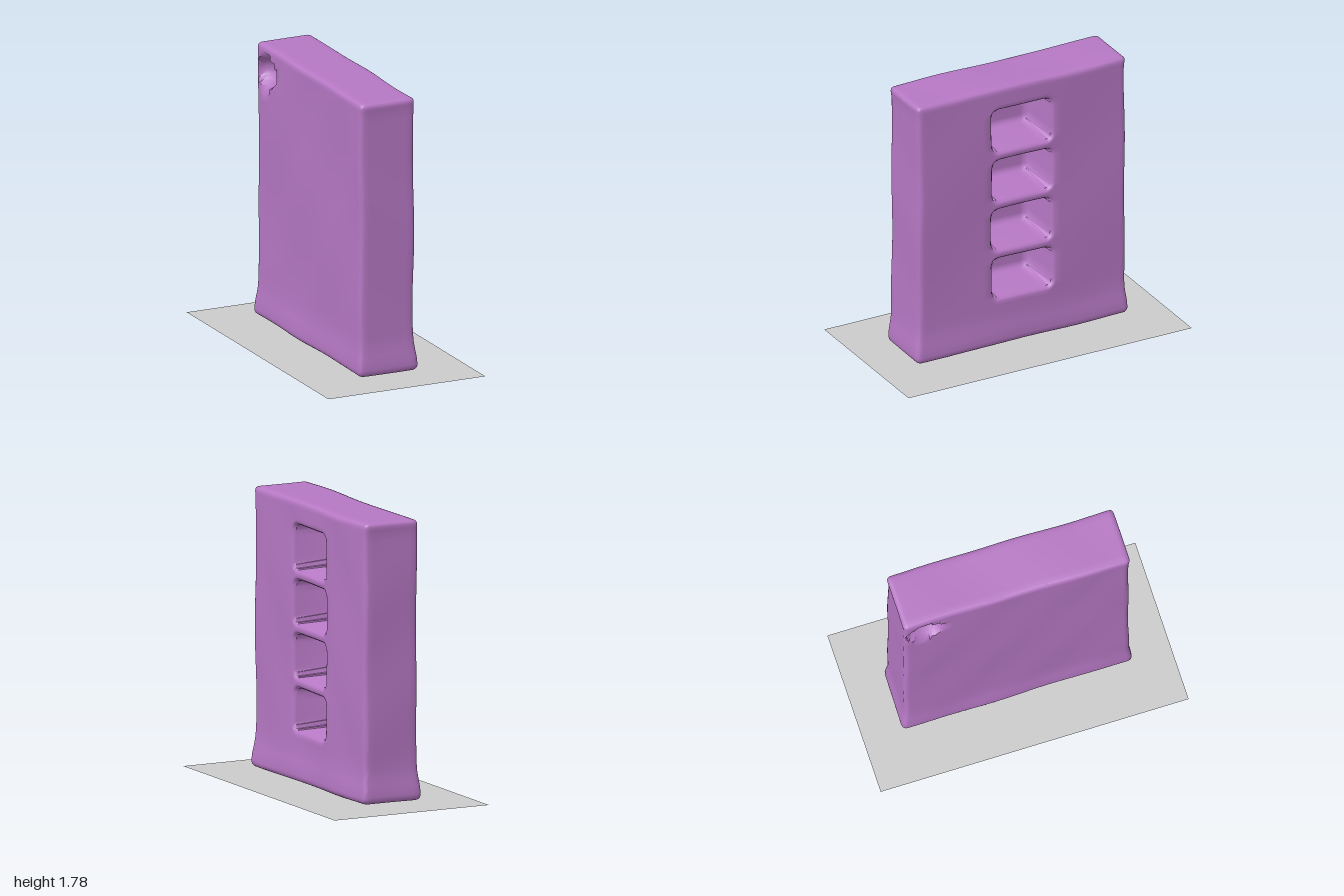
import * as THREE from 'three';
import { mergeVertices, toCreasedNormals } from 'three/addons/utils/BufferGeometryUtils.js';

const HX = 0.187, HZ = 0.73, BOTTOM = 0.015, TOP = 1.782;
const HOLE_HALF = 0.21, BACK_X = -0.13, ROUND = 0.03;
const HOLES = [[0.33, 0.6], [0.66, 0.94], [1.0, 1.28], [1.34, 1.63]];
const DENT = { y: 1.61, z: -0.6, ry: 0.1, rz: 0.12, depth: 0.1 };

// Sorted grid lines: an even spread, fine steps at the ends and at recess edges
function gridLines(min, max, step, edges, extra = []) {
  const lines = [0, 0.005, 0.014, ROUND].flatMap(o => [min + o, max - o]);
  for (const [a, b] of edges) {
    for (const o of [-0.02, -0.01, 0, 0.008, 0.02, 0.032, 0.05]) lines.push(a + o, b - o);
  }
  lines.push(...extra);
  const n = Math.round((max - min) / step);
  for (let i = 1; i < n; i++) {
    const v = min + (max - min) * i / n;
    if (lines.every(l => Math.abs(l - v) > 0.012)) lines.push(v);
  }
  return lines.sort((a, b) => a - b).filter((v, i, all) => !i || v - all[i - 1] > 0.002);
}

// Signed distance to the nearest recess outline, negative inside
function recessDistance(y, z) {
  const r = 0.045;
  return Math.min(...HOLES.map(([a, b]) => {
    const qy = Math.abs(y - (a + b) / 2) - (b - a) / 2 + r;
    const qz = Math.abs(z) - HOLE_HALF + r;
    return Math.hypot(Math.max(qy, 0), Math.max(qz, 0)) + Math.min(Math.max(qy, qz), 0) - r;
  }));
}

function buildBody() {
  const dentOffsets = [-0.9, -0.6, -0.3, 0, 0.3, 0.6, 0.9];
  const xs = gridLines(-HX, HX, 0.06, []);
  const ys = gridLines(BOTTOM, TOP, 0.045, HOLES, dentOffsets.map(o => DENT.y + o * DENT.ry));
  const zs = gridLines(-HZ, HZ, 0.045, [[-HOLE_HALF, HOLE_HALF]], dentOffsets.map(o => DENT.z + o * DENT.rz));
  let geo = new THREE.BoxGeometry(1, 1, 1, xs.length - 1, ys.length - 1, zs.length - 1);
  const pos = geo.attributes.position;
  const p = new THREE.Vector3(), core = new THREE.Vector3();
  const pick = (lines, t) => lines[Math.round((t + 0.5) * (lines.length - 1))];
  const lo = new THREE.Vector3(-HX + ROUND, BOTTOM + ROUND, -HZ + ROUND);
  const hi = new THREE.Vector3(HX - ROUND, TOP - ROUND, HZ - ROUND);

  for (let i = 0; i < pos.count; i++) {
    const x = pick(xs, pos.getX(i)), y = pick(ys, pos.getY(i)), z = pick(zs, pos.getZ(i));

    // Rounded outer edges
    p.set(x, y, z);
    core.copy(p).clamp(lo, hi);
    p.sub(core);
    if (p.lengthSq() > 0) p.setLength(ROUND);
    p.add(core);

    // Flared foot, slight lip at the top, and uneven hand-made surfaces
    const foot = Math.exp(-(((y - 0.06) / 0.1) ** 2));
    const lip = Math.exp(-(((y - TOP) / 0.05) ** 2));
    p.x *= 1 + 0.09 * foot;
    p.z *= 1 + 0.025 * foot + 0.012 * lip;
    p.x += 0.003 * Math.sin(5 * y + 4 * z) + 0.002 * Math.sin(11 * z - 7 * y);
    p.z += 0.003 * Math.sin(8 * y + 6 * x);
    p.y += 0.003 * Math.sin(7 * z + 5 * x);

    // Four deep recesses in the left face
    if (x === xs[xs.length - 1]) {
      const d = recessDistance(y, z);
      if (d < -0.0075) p.x = BACK_X + 0.02 * Math.max(0, 1 + (d + 0.0075) / 0.025);
      else if (d < 0.02) p.x -= 0.02 * Math.min(1, 1 - d / 0.02) ** 2;
    }
    // Small hollow near the upper rear corner of the right face
    if (x === xs[0]) {
      const q = ((y - DENT.y) / DENT.ry) ** 2 + ((z - DENT.z) / DENT.rz) ** 2;
      if (q < 1) p.x += DENT.depth * Math.sqrt(1 - q);
    }
    pos.setXYZ(i, p.x, p.y, p.z);
  }
  geo.deleteAttribute('uv');
  geo.deleteAttribute('normal');
  geo = mergeVertices(geo, 1e-5);
  return toCreasedNormals(geo, 1.0);
}

export function createModel() {
  const model = new THREE.Group();

  const body = new THREE.Mesh(buildBody(), new THREE.MeshStandardMaterial({ color: 0xb678c4 }));
  body.name = 'slabBody';
  model.add(body);

  // Flat sheet under the slab
  const sheet = new THREE.Mesh(
    new THREE.PlaneGeometry(1.08, 2).rotateX(-Math.PI / 2),
    new THREE.MeshStandardMaterial({ color: 0xcccccc, side: THREE.DoubleSide })
  );
  sheet.name = 'baseSheet';
  model.add(sheet);
  return model;
}
